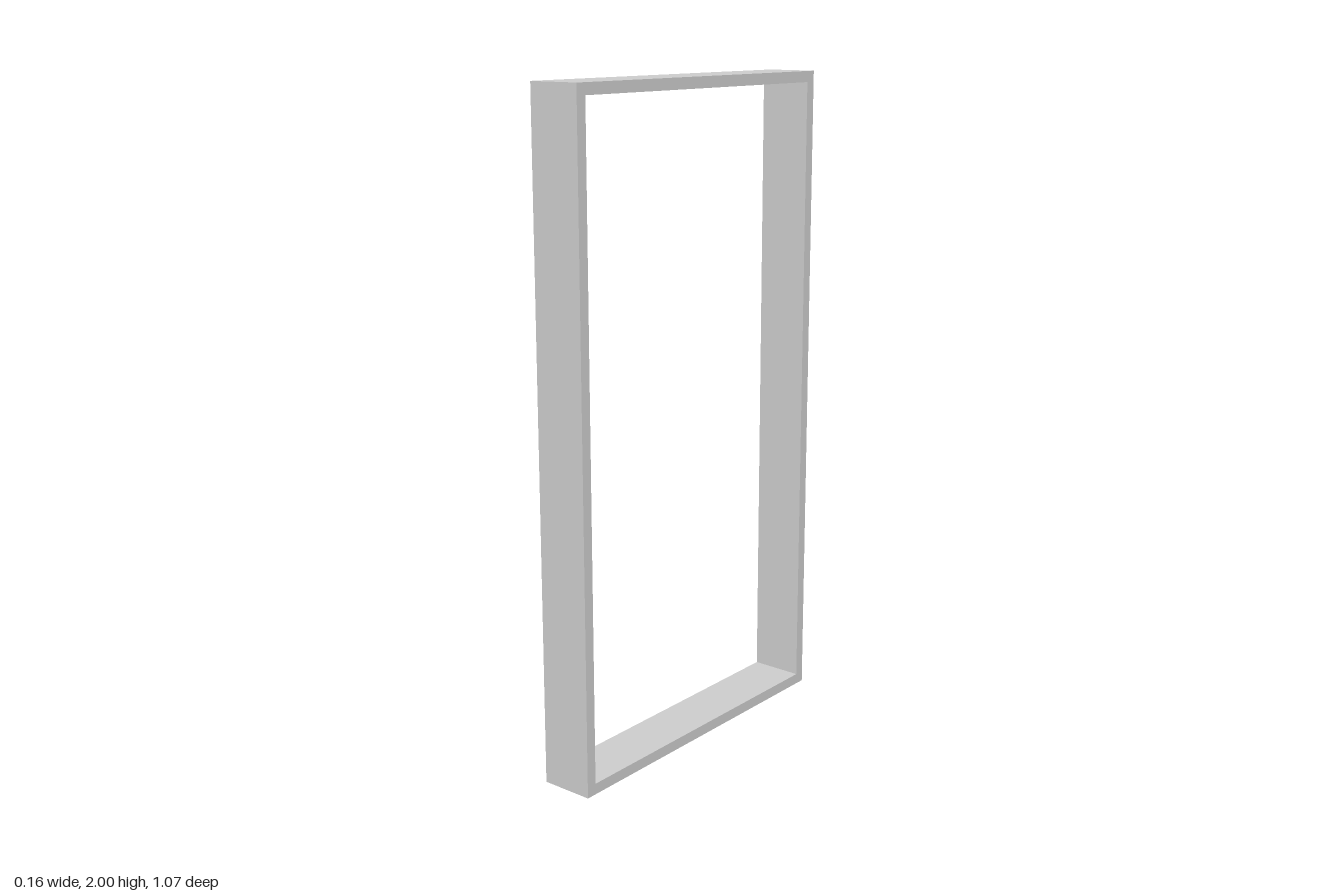
import * as THREE from 'three';

const HEIGHT = 2, WIDTH = 1.067, DEPTH = 0.163, THICKNESS = 0.033;

// Rectangle standing on y = bottom, centred sideways
function rectangle(path, width, bottom, top) {
  path.moveTo(-width / 2, bottom);
  path.lineTo(width / 2, bottom);
  path.lineTo(width / 2, top);
  path.lineTo(-width / 2, top);
  path.closePath();
  return path;
}

export function createModel() {
  const group = new THREE.Group();
  group.name = 'openFrame';

  // Rectangular frame with a through opening, extruded along x
  const outline = rectangle(new THREE.Shape(), WIDTH, 0, HEIGHT);
  outline.holes.push(rectangle(new THREE.Path(), WIDTH - 2 * THICKNESS, THICKNESS, HEIGHT - THICKNESS));
  const geometry = new THREE.ExtrudeGeometry(outline, { depth: DEPTH, bevelEnabled: false });
  geometry.translate(0, 0, -DEPTH / 2);
  geometry.rotateY(Math.PI / 2);

  const frame = new THREE.Mesh(geometry, new THREE.MeshStandardMaterial({ color: 0xcccccc }));
  frame.name = 'frame';
  group.add(frame);
  return group;
}
